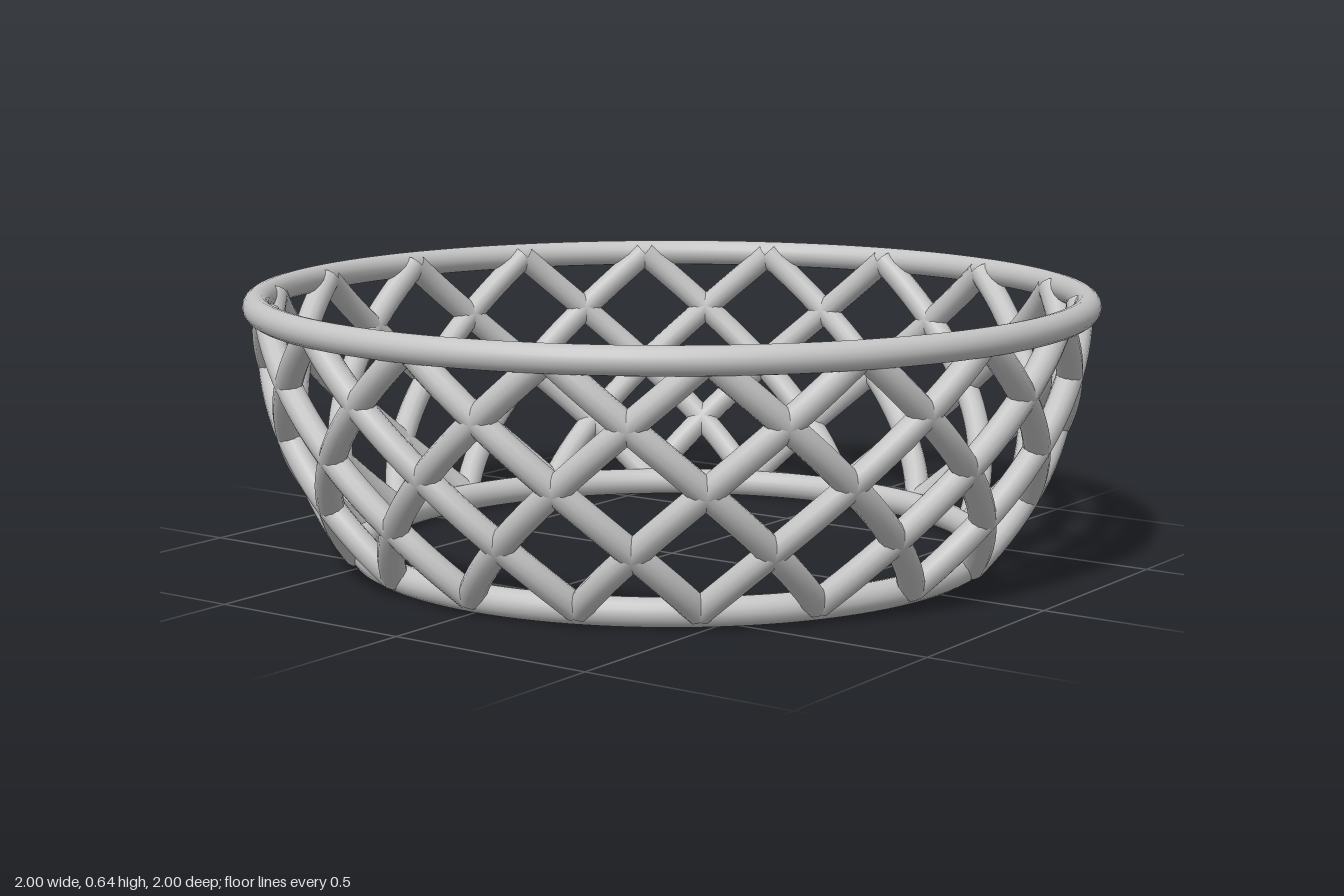
import * as THREE from 'three';

const STRANDS = 18;                 // strands in each winding direction
const STEP = (Math.PI * 2) / STRANDS;
const BOWL_R = 0.95, BOWL_Y = 0.62; // sphere that the lattice lies on
const Y0 = 0.04, Y1 = 0.613;

export function createModel() {
  const grey = new THREE.MeshStandardMaterial({ color: 0xc4c4c4 });
  grey.name = 'lightGrey';
  const basket = new THREE.Group();
  basket.name = 'latticeBasket';

  // Rims: plain round rings at the top and the bottom
  const addRing = (name, radius, tube, y) => {
    const ring = new THREE.Mesh(new THREE.TorusGeometry(radius, tube, 16, 120), grey);
    ring.rotation.x = Math.PI / 2;
    ring.position.y = y;
    ring.name = name;
    basket.add(ring);
  };
  addRing('topRim', 0.968, 0.032, 0.613);
  addRing('bottomRim', 0.733, 0.033, 0.035);

  // Strand: a round bar that climbs the bowl while turning by two steps
  const strandGeometry = (dir) => {
    const points = [];
    for (let i = 0; i <= 12; i++) {
      const t = i / 12, y = Y0 + (Y1 - Y0) * t;
      const r = Math.sqrt(BOWL_R ** 2 - (BOWL_Y - y) ** 2);
      const a = dir * 2 * STEP * t;
      points.push(new THREE.Vector3(r * Math.sin(a), y, r * Math.cos(a)));
    }
    return new THREE.TubeGeometry(new THREE.CatmullRomCurve3(points), 24, 0.031, 12);
  };

  // Lattice: both winding directions start at the same nodes on the bottom rim
  for (const [name, dir] of [['leftStrand', 1], ['rightStrand', -1]]) {
    const geometry = strandGeometry(dir);
    for (let i = 0; i < STRANDS; i++) {
      const strand = new THREE.Mesh(geometry, grey);
      strand.rotation.y = (i + 0.5) * STEP;
      strand.name = name + (i + 1);
      basket.add(strand);
    }
  }
  return basket;
}
